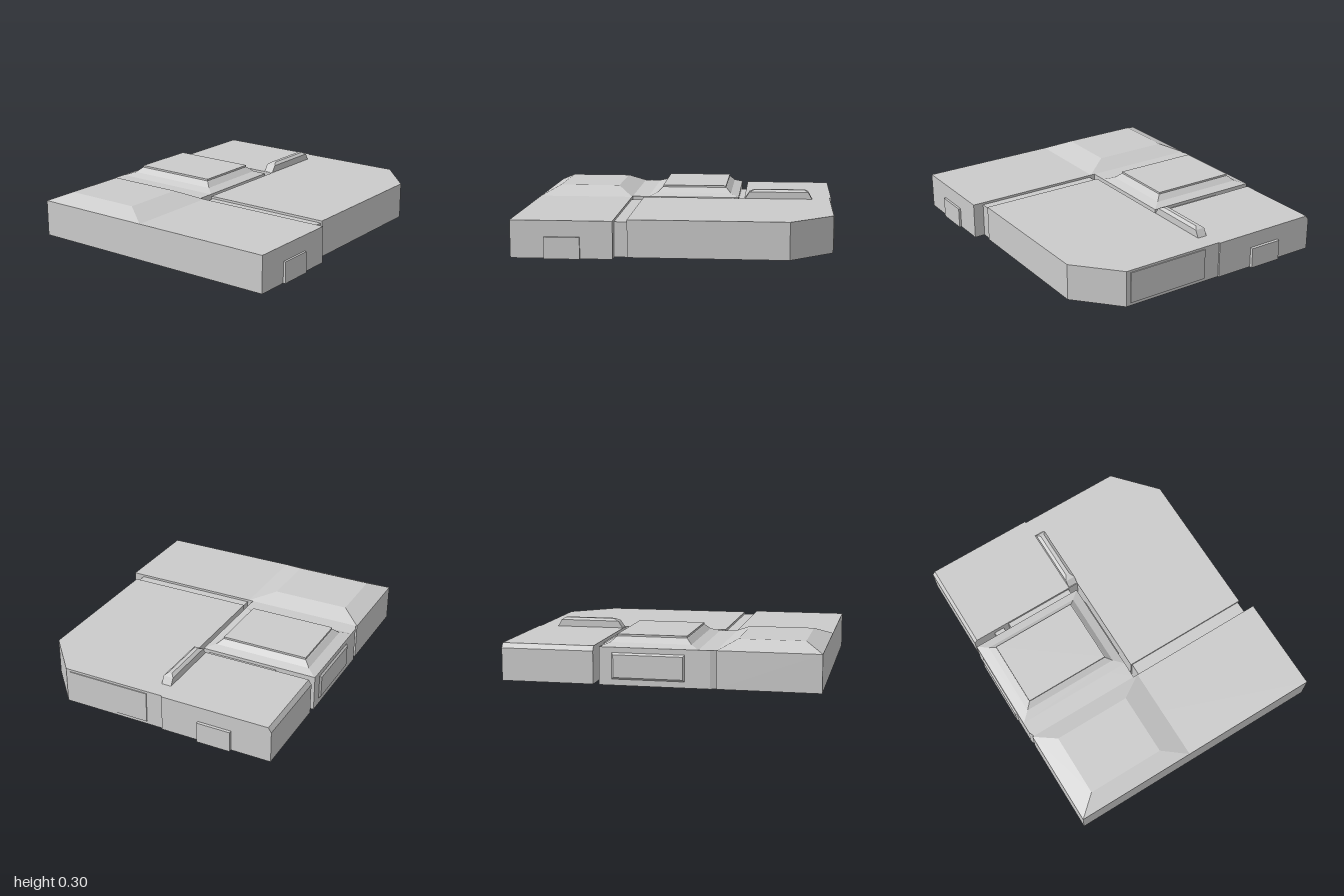
import * as THREE from 'three';

const material = new THREE.MeshStandardMaterial({ color: 0xcccccc, flatShading: true });
const TOP = 0.235;

// Solid through stacked rectangles, each [x0, x1, y, z0, z1]
function loft(rings) {
  const pos = [], idx = [];
  for (const [x0, x1, y, z0, z1] of rings) pos.push(x0, y, z1, x1, y, z1, x1, y, z0, x0, y, z0);
  for (let r = 0; r < rings.length - 1; r++) {
    for (let i = 0; i < 4; i++) {
      const a = r * 4 + i, b = r * 4 + (i + 1) % 4;
      idx.push(a, b, b + 4, a, b + 4, a + 4);
    }
  }
  const t = (rings.length - 1) * 4;
  idx.push(0, 2, 1, 0, 3, 2, t, t + 1, t + 2, t, t + 2, t + 3);
  const g = new THREE.BufferGeometry();
  g.setAttribute('position', new THREE.Float32BufferAttribute(pos, 3));
  g.setIndex(idx);
  const flat = g.toNonIndexed();
  flat.computeVertexNormals();
  return flat;
}

// Box given by its limits
function block(x0, x1, y0, y1, z0, z1) {
  return new THREE.BoxGeometry(x1 - x0, y1 - y0, z1 - z0)
    .translate((x0 + x1) / 2, (y0 + y1) / 2, (z0 + z1) / 2);
}

// Floor outline of [x, z] points raised to a height
function slab(points, height) {
  const shape = new THREE.Shape(points.map(([x, z]) => new THREE.Vector2(x, -z)));
  return new THREE.ExtrudeGeometry(shape, { depth: height, bevelEnabled: false }).rotateX(-Math.PI / 2);
}

export function createModel() {
  const model = new THREE.Group();
  const add = (name, geometry) => {
    const mesh = new THREE.Mesh(geometry, material);
    mesh.name = name;
    model.add(mesh);
    return mesh;
  };

  // Long slab on the right with its sloped raised deck
  add('longSlab', block(-1, -0.37, 0, TOP, -0.86, 0.86));
  add('longSlabDeck', loft([
    [-1, -0.37, TOP, -0.86, -0.06],
    [-0.89, -0.48, 0.29, -0.73, -0.22],
  ]));
  add('frontPlate', block(-0.79, -0.57, 0, 0.135, 0.85, 0.875));

  // Middle slab with a stepped raised hatch
  add('middleSlab', slab([
    [-0.37, -0.09], [0.355, -0.09], [0.355, -0.865], [-0.33, -0.865], [-0.37, -0.85],
  ], TOP));
  const hatch = [[0, TOP], [0.055, 0.255], [0.085, 0.285], [0.09, 0.288], [0.09, 0.3]];
  add('hatch', loft(hatch.map(([d, y]) => [-0.26 + d, 0.355 - d, y, -0.86 + d * 1.1, -0.09 - d * 1.1])));

  // Bevelled plates on the back and front of the middle slab
  for (const [name, z, turn] of [['middleBackPlate', -0.862, -1], ['middleFrontPlate', -0.09, 1]]) {
    const plate = loft([
      [-0.23, 0.23, 0, -0.085, 0.085],
      [-0.215, 0.215, 0.014, -0.07, 0.07],
    ]).rotateX(turn * Math.PI / 2);
    add(name, plate).position.set(0.05, 0.12, z);
  }

  // Main slab with one cut corner and a thin side plate
  add('mainSlab', slab([
    [-0.29, 0.8], [0.7, 0.8], [0.97, 0.56], [0.97, -0.13], [0.395, -0.13], [0.395, -0.06], [-0.29, -0.06],
  ], TOP));
  add('mainSidePlate', block(0.95, 0.976, 0.02, 0.22, -0.02, 0.53));

  // Rear corner slab, chamfered along its back edge
  add('rearSlab', loft([
    [0.395, 0.98, 0, -0.86, -0.13],
    [0.395, 0.98, 0.205, -0.86, -0.13],
    [0.395, 0.98, TOP, -0.84, -0.13],
  ]));
  add('rearSidePlate', block(0.96, 1, 0, 0.135, -0.6, -0.38));

  // Tapered ridge on the seam
  add('ridge', loft([
    [0.4, 0.85, TOP, -0.125, -0.06],
    [0.43, 0.825, 0.28, -0.125, -0.06],
    [0.465, 0.8, 0.295, -0.105, -0.08],
  ]));

  // Recessed joints between the slabs
  add('longJoint', block(-0.38, -0.28, 0, 0.22, -0.05, 0.79));
  add('sideJoint', block(0.35, 0.4, 0.06, 0.215, -0.6, -0.13));
  add('smallJoint', block(0.35, 0.4, 0.02, 0.19, -0.71, -0.64));

  return model;
}
